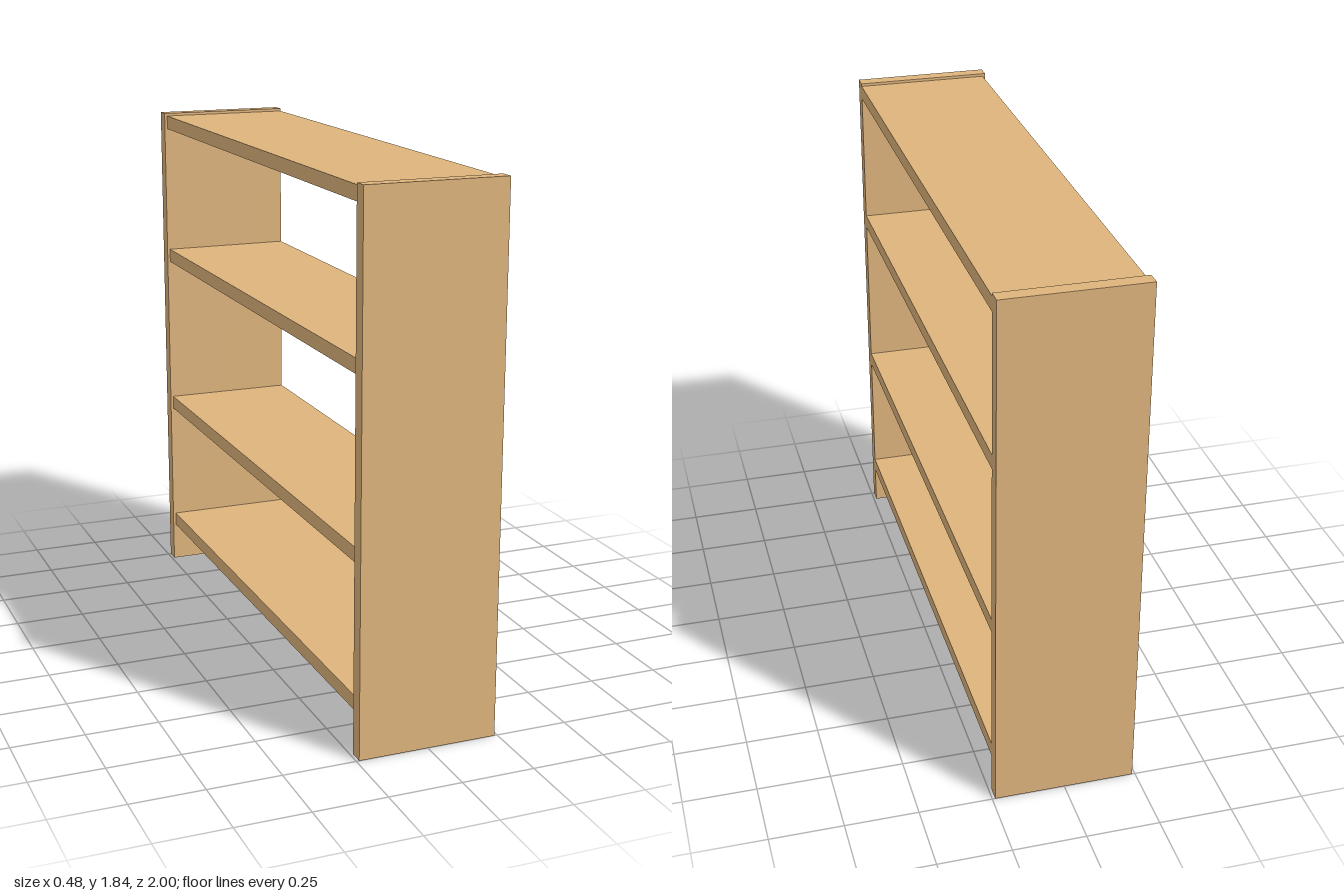
import * as THREE from 'three';

const HEIGHT = 1.835, DEPTH = 0.48, LENGTH = 2, BOARD = 0.05;
const RECESS = 0.01; // shelves stop short of the panels on the -x edge

export function createModel() {
  const model = new THREE.Group();
  model.name = 'bookshelf';
  const wood = new THREE.MeshStandardMaterial({ color: 0xdeb47c });

  const addBoard = (name, size, position) => {
    const board = new THREE.Mesh(new THREE.BoxGeometry(...size), wood);
    board.name = name;
    board.position.set(...position);
    model.add(board);
  };

  // Upright end panels
  for (const side of [1, -1]) {
    addBoard(side > 0 ? 'frontPanel' : 'backPanel',
      [DEPTH, HEIGHT, BOARD], [0, HEIGHT / 2, side * (LENGTH - BOARD) / 2]);
  }

  // Shelves spanning between the panels, by centre height
  [0.17, 0.67, 1.275, 1.8].forEach((y, i) => {
    addBoard(`shelf${i + 1}`,
      [DEPTH - RECESS, BOARD, LENGTH - 2 * BOARD], [RECESS / 2, y, 0]);
  });

  return model;
}
